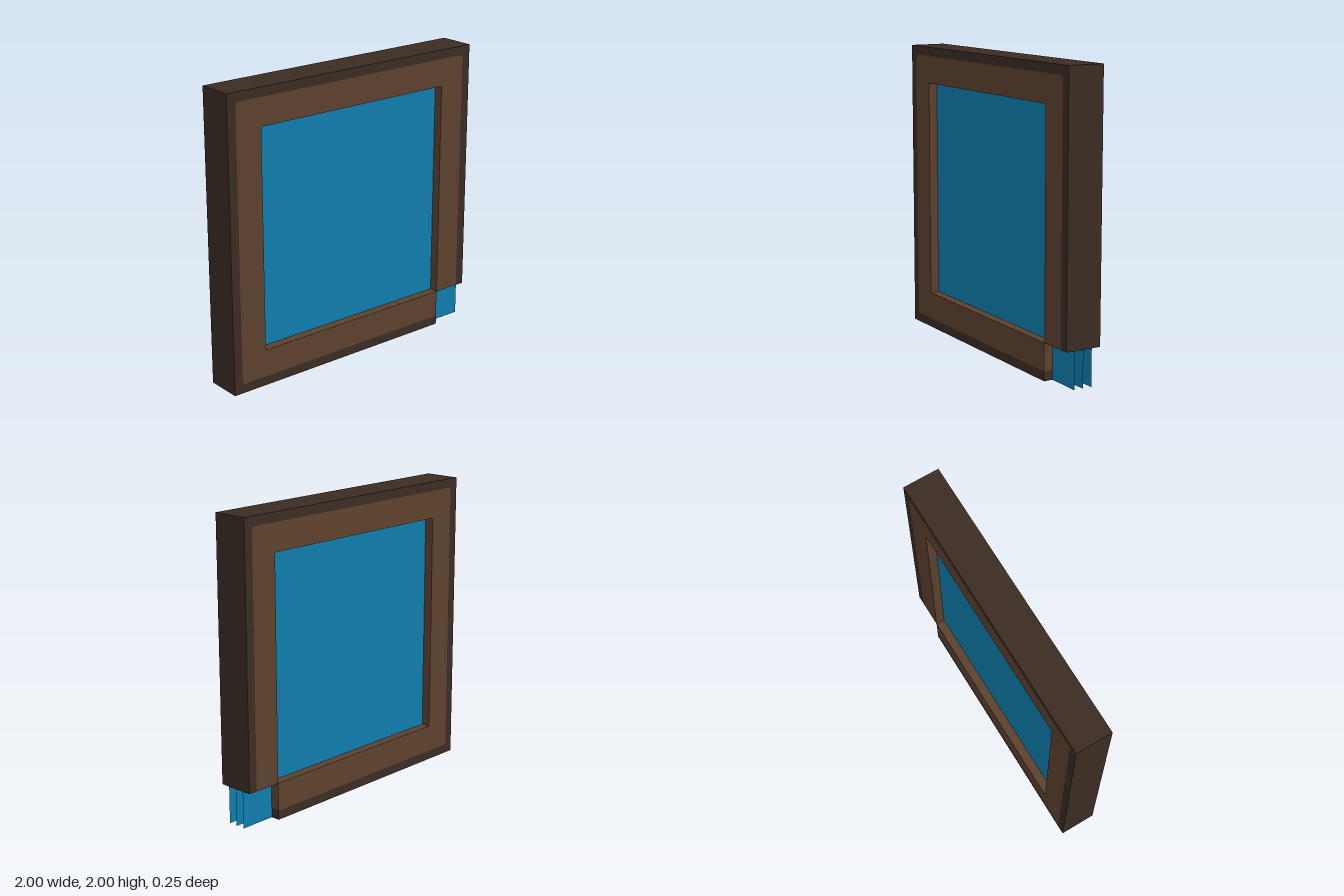
import * as THREE from 'three';

const DEPTH = 0.25;
const B = 0.9375; // half width of the inner wood
const LOW = 0.0625, HIGH = 1.9375, R = 0.03;

// rounded boundary between rim and inner wood, from the cut at the right to the cut at the bottom
function traceBoundary(s) {
  s.lineTo(B, HIGH - R);
  s.quadraticCurveTo(B, HIGH, B - R, HIGH);
  s.lineTo(-B + R, HIGH);
  s.quadraticCurveTo(-B, HIGH, -B, HIGH - R);
  s.lineTo(-B, LOW + R);
  s.quadraticCurveTo(-B, LOW, -B + R, LOW);
  s.lineTo(0.75, LOW);
}

function traceLines(s, points) {
  for (const [x, y] of points) s.lineTo(x, y);
}

export function createModel() {
  const group = new THREE.Group();
  const darkWood = new THREE.MeshStandardMaterial({ name: 'darkWood', color: 0x3b2c23 });
  const brownWood = new THREE.MeshStandardMaterial({ name: 'brownWood', color: 0x5c412d });
  const blueGlass = new THREE.MeshStandardMaterial({ name: 'blueGlass', color: 0x0f7dac, side: THREE.DoubleSide });

  const addMesh = (name, geometry, material, z) => {
    const mesh = new THREE.Mesh(geometry, material);
    mesh.name = name;
    mesh.position.z = z;
    group.add(mesh);
  };
  const extrude = (shape) =>
    new THREE.ExtrudeGeometry(shape, { depth: DEPTH, bevelEnabled: false, curveSegments: 5 });

  // dark outer rim, open at the cut-away corner
  const rim = new THREE.Shape();
  rim.moveTo(B, 0.25);
  traceBoundary(rim);
  traceLines(rim, [[0.75, 0], [-1, 0], [-1, 2], [1, 2], [1, 0.25]]);
  rim.closePath();
  addMesh('outerRim', extrude(rim), darkWood, -DEPTH / 2);

  // brown inner wood around the square opening
  const wood = new THREE.Shape();
  wood.moveTo(B, 0.25);
  traceBoundary(wood);
  traceLines(wood, [[0.75, 0.25], [-0.75, 0.25], [-0.75, 1.75], [0.75, 1.75], [0.75, 0.25]]);
  wood.closePath();
  addMesh('innerFrame', extrude(wood), brownWood, -DEPTH / 2);

  // three panes, set into the frame and bare at the cut-away corner
  const pane = new THREE.Shape();
  pane.moveTo(-0.98, 0.02);
  traceLines(pane, [[0.75, 0.02], [0.75, 0], [1, 0], [1, 0.25], [0.98, 0.25], [0.98, 1.98], [-0.98, 1.98]]);
  pane.closePath();
  const paneGeometry = new THREE.ShapeGeometry(pane);
  [['frontPane', 0.0625], ['middlePane', 0], ['backPane', -0.0625]].forEach(([name, z]) =>
    addMesh(name, paneGeometry, blueGlass, z));

  return group;
}
